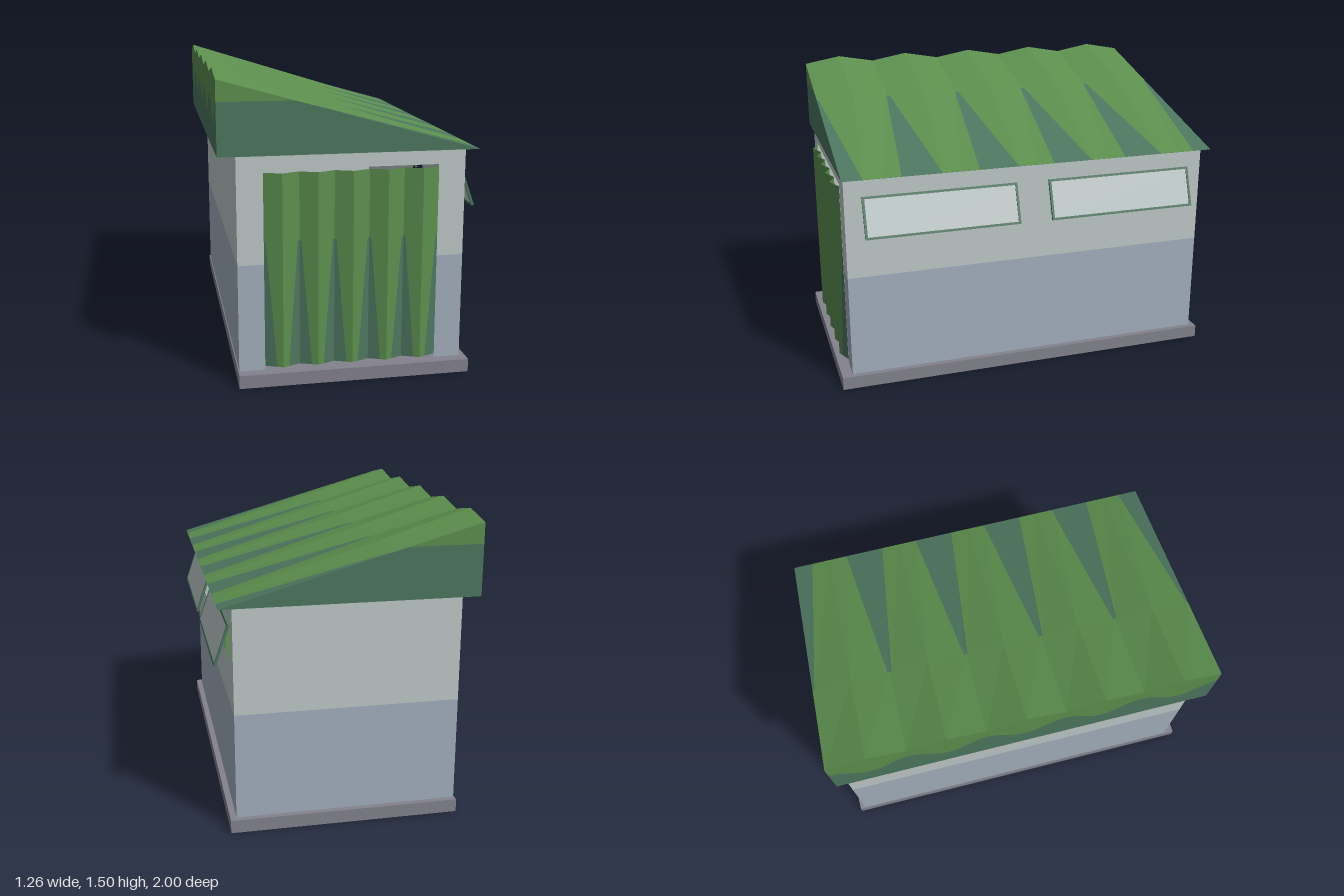
import * as THREE from 'three';

const mat = (name, color) => {
  const m = new THREE.MeshStandardMaterial({ color, side: THREE.DoubleSide });
  m.name = name;
  return m;
};

export function createModel() {
  const green = mat('green', 0x5c8f4e);
  const teal = mat('teal', 0x4d765f);
  const upperWall = mat('pale grey', 0xbec8c8);
  const lowerWall = mat('blue grey', 0xa3b0be);
  const stone = mat('base grey', 0x83828e);

  const model = new THREE.Group();
  model.name = 'shed';
  const add = (parent, name, geometry, material) => {
    const mesh = new THREE.Mesh(geometry, material);
    mesh.name = name;
    parent.add(mesh);
    return mesh;
  };
  const group = (name, parent = model) => {
    const g = new THREE.Group();
    g.name = name;
    parent.add(g);
    return g;
  };
  const points = (list) => list.map(([x, y]) => new THREE.Vector2(x, y));
  const rect = (x0, x1, y0, y1) => points([[x0, y0], [x1, y0], [x1, y1], [x0, y1]]);
  const plate = (outline, holes = []) => {
    const shape = new THREE.Shape(outline);
    shape.holes = holes.map((h) => new THREE.Path(h));
    return new THREE.ShapeGeometry(shape);
  };
  const quads = (list) => {
    const pos = [];
    for (const [a, b, c, d] of list) for (const p of [a, b, c, a, c, d]) pos.push(...p);
    const g = new THREE.BufferGeometry();
    g.setAttribute('position', new THREE.Float32BufferAttribute(pos, 3));
    g.computeVertexNormals();
    return g;
  };

  // Base slab
  const base = add(model, 'base', new THREE.BoxGeometry(1.13, 0.065, 2), stone);
  base.position.set(0.015, 0.0325, 0);

  // Walls: thin sheets in two colour bands
  const X0 = -0.545, X1 = 0.55, Z0 = -0.97, Z1 = 0.945;
  const Y0 = 0.065, YM = 0.59, Y1 = 1.11, DOOR = 0.42, HEAD = 1.04;
  const walls = group('walls');

  add(walls, 'frontWallUpper', plate(points([
    [X0, YM], [-DOOR, YM], [-DOOR, HEAD], [DOOR, HEAD],
    [DOOR, YM], [X1, YM], [X1, Y1], [X0, Y1],
  ])), upperWall).position.z = Z1;
  for (const [a, b] of [[X0, -DOOR], [DOOR, X1]])
    add(walls, 'frontWallLower', plate(rect(a, b, Y0, YM)), lowerWall).position.z = Z1;

  const windowCentres = [0.465, -0.495];
  const openings = windowCentres.map((z) => rect(-z - 0.38, -z + 0.38, 0.82, 1));
  for (const [name, y0, y1, material, holes] of [
    ['Lower', Y0, YM, lowerWall, []],
    ['Upper', YM, Y1, upperWall, openings],
  ]) {
    const back = add(walls, 'backWall' + name, plate(rect(-X1, -X0, y0, y1)), material);
    back.rotation.y = Math.PI;
    back.position.z = Z0;
    const right = add(walls, 'windowWall' + name, plate(rect(-Z1, -Z0, y0, y1), holes), material);
    right.rotation.y = Math.PI / 2;
    right.position.x = X1;
    const left = add(walls, 'plainWall' + name, plate(rect(Z0, Z1, y0, y1)), material);
    left.rotation.y = -Math.PI / 2;
    left.position.x = X0;
  }

  // Corrugated sheet of ten facets, with teal spikes rising along each valley.
  // at(i, f, t): fold i, side step f (0 valley to 1 peak), t from spike base to far end
  const corrugated = (name, parent, at, tip, baseWidth, tipWidth) => {
    const main = [], spikes = [];
    for (let i = 0; i < 10; i++) {
      // Facets alternate, so mirror f and the corner order on odd ones
      const p = (f, t) => at(i + (i % 2 ? 1 - f : f), f, t);
      const push = (list, q) => list.push(i % 2 ? q.reverse() : q);
      push(spikes, [p(0, 0), p(baseWidth, 0), p(tipWidth, tip), p(0, tip)]);
      push(main, [p(baseWidth, 0), p(1, 0), p(1, tip), p(tipWidth, tip)]);
      push(main, [p(0, tip), p(1, tip), p(1, 1), p(0, 1)]);
    }
    add(parent, name + 'Sheet', quads(main), green);
    add(parent, name + 'Spikes', quads(spikes), teal);
  };

  // Folded door
  corrugated('door', group('door'), (s, f, t) =>
    [-DOOR + s * 0.084, 0.085 + t * 0.945, 0.946 + f * 0.034], 0.65, 0.66, 0.1);

  // Roof: corrugation deep at the high eave, fading flat at the low one
  const RX0 = -0.63, RX1 = 0.615, RZ0 = -0.99, RZ1 = 0.96, RY = 1.11, VALLEY = 1.462;
  const roof = group('roof');
  corrugated('roof', roof, (s, f, t) => [
    RX1 + (RX0 - RX1) * t,
    RY + t * (VALLEY - RY + f * 0.035),
    RZ1 - s * (RZ1 - RZ0) / 10,
  ], 0.64, 0.52, 0.05);

  // Gable ends
  const SPLIT = 1.36;
  const splitX = RX1 + (RX0 - RX1) * (SPLIT - RY) / (VALLEY - RY);
  for (const z of [RZ0, RZ1]) {
    add(roof, 'gableLower', plate(points([[RX0, RY], [RX1, RY], [splitX, SPLIT], [RX0, SPLIT]])), teal).position.z = z;
    add(roof, 'gableUpper', plate(points([[RX0, SPLIT], [splitX, SPLIT], [RX0, VALLEY]])), green).position.z = z;
  }

  // High eave board with a wavy colour border
  const wave = [], crest = [];
  for (let i = 0; i <= 60; i++)
    wave.push([RZ0 + (RZ1 - RZ0) * i / 60, 1.305 + 0.055 * Math.cos(i * Math.PI / 6)]);
  for (let i = 10; i >= 0; i--)
    crest.push([RZ0 + (RZ1 - RZ0) * i / 10, VALLEY + (i % 2) * 0.035]);
  for (const [name, outline, material] of [
    ['eaveLower', [[RZ1, RY], [RZ0, RY], ...wave], teal],
    ['eaveUpper', [...wave, ...crest], green],
  ]) {
    const eave = add(roof, name, plate(points(outline)), material);
    eave.rotation.y = -Math.PI / 2;
    eave.position.x = RX0;
  }

  // Underside of the roof
  const soffit = add(roof, 'soffit', plate(rect(RX0, RX1, RZ0, RZ1)), teal);
  soffit.rotation.x = Math.PI / 2;
  soffit.position.y = RY - 0.001;

  // Top-hung windows, propped open
  const W = 0.79, H = 0.21, BAR = 0.012;
  for (const z of windowCentres) {
    const win = group('window');
    win.position.set(0.557, 1.008, z);
    win.rotation.z = 0.337;
    add(win, 'pane', new THREE.BoxGeometry(0.005, H - BAR, W - BAR), upperWall).position.y = -H / 2;
    for (const s of [-1, 1]) {
      add(win, 'frameRail', new THREE.BoxGeometry(BAR, BAR, W), teal)
        .position.y = -H / 2 + s * (H - BAR) / 2;
      add(win, 'frameStile', new THREE.BoxGeometry(BAR, H - 2 * BAR, BAR), teal)
        .position.set(0, -H / 2, s * (W - BAR) / 2);
    }
  }
  return model;
}
